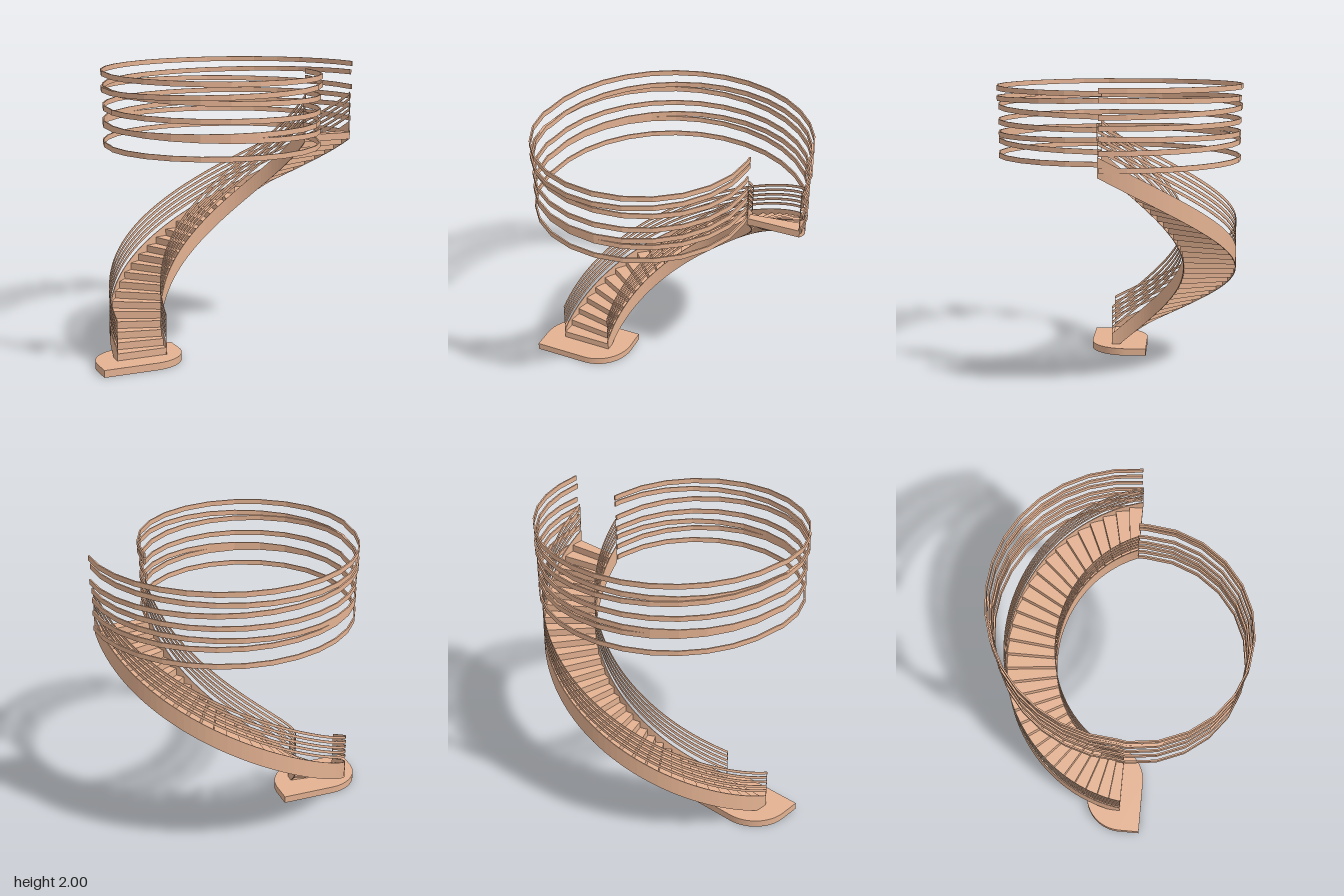
import * as THREE from 'three';

const STEPS = 30, BASE_H = 0.05, RISE = 1.45;
const CENTER = [0.06, 0.068], R_IN = 0.525, R_OUT = 0.877;

// Sweep a rectangular section along stations {x, z, nx, nz, w0, w1, y0, y1}
function sweep(stations) {
  const rings = stations.map(({ x, z, nx, nz, w0, w1, y0, y1 }) => [
    [x + nx * w1, y0, z + nz * w1], [x + nx * w1, y1, z + nz * w1],
    [x + nx * w0, y1, z + nz * w0], [x + nx * w0, y0, z + nz * w0],
  ]);
  const pos = [];
  const quad = (a, b, c, d) => pos.push(...a, ...b, ...c, ...a, ...c, ...d);
  for (let i = 0; i + 1 < rings.length; i++) {
    const A = rings[i], B = rings[i + 1];
    for (let j = 0; j < 4; j++) {
      const k = (j + 1) % 4;
      quad(A[j], A[k], B[k], B[j]);
    }
  }
  const first = rings[0], last = rings[rings.length - 1];
  quad(first[3], first[2], first[1], first[0]);
  quad(last[0], last[1], last[2], last[3]);
  const g = new THREE.BufferGeometry();
  g.setAttribute('position', new THREE.Float32BufferAttribute(pos, 3));
  g.computeVertexNormals();
  return g;
}

// Station on the stair spiral; t runs from 0 (bottom) to 1 (top)
function spiral(t, w0, w1, y0, y1) {
  const a = Math.PI * (1 + t);
  return { x: CENTER[0], z: CENTER[1], nx: Math.cos(a), nz: Math.sin(a), w0, w1, y0, y1 };
}
const slope = (t) => BASE_H + RISE * t;

// Band that climbs with the stairs between two height offsets
function climbingBand(r, thickness, lo, hi, n = 60) {
  const list = [];
  for (let i = 0; i <= n; i++) {
    const t = i / n, h = slope(t);
    list.push(spiral(t, r - thickness / 2, r + thickness / 2, Math.max(BASE_H, h + lo), h + hi));
  }
  return sweep(list);
}

// Balcony rail: front arc, then the wider back arc, at a steady slant
function balconyRail(yStart, yEnd, grow) {
  const list = [], yLeft = (yStart + yEnd) / 2, nFront = 12, nBack = 16;
  const add = (x, z, a, r, y) => list.push({
    x, z, nx: Math.cos(a), nz: Math.sin(a), w0: r - 0.01, w1: r, y0: y - 0.017, y1: y + 0.017,
  });
  add(-0.135, 0.065, 0, 0.715 + grow, yStart);
  for (let i = 0; i <= nFront; i++)
    add(-0.135, 0.117, Math.PI * i / nFront, 0.715 + grow, yStart + (yLeft - yStart) * i / nFront);
  for (let i = 0; i <= nBack; i++)
    add(0.055, 0.06, Math.PI * (1 + i / nBack), 0.895 + grow, yLeft + (yEnd - yLeft) * i / nBack);
  return sweep(list);
}

export function createModel() {
  const model = new THREE.Group();
  const wood = new THREE.MeshStandardMaterial({ color: 0xe4b292 });
  wood.name = 'wood';
  const add = (name, geometry) => {
    const mesh = new THREE.Mesh(geometry, wood);
    mesh.name = name;
    model.add(mesh);
    return mesh;
  };

  // Base plate with two opposite rounded corners (shape y is -z)
  const s = new THREE.Shape();
  s.moveTo(-0.965, -0.222);
  s.lineTo(-0.59, -0.222);
  s.absarc(-0.59, 0.038, 0.26, -Math.PI / 2, 0, false);
  s.lineTo(-0.33, 0.183);
  s.lineTo(-0.705, 0.183);
  s.absarc(-0.705, -0.077, 0.26, Math.PI / 2, Math.PI, false);
  s.closePath();
  const base = new THREE.ExtrudeGeometry(s, { depth: BASE_H, bevelEnabled: false, curveSegments: 16 });
  base.rotateX(-Math.PI / 2);
  add('basePlate', base);

  // Wedge steps with a stepped underside, held between the stringers
  for (let i = 0; i < STEPS; i++) {
    const t0 = i / STEPS, t1 = (i + 1) / STEPS;
    const y0 = slope(t0), y1 = slope(t1);
    add('step', sweep([spiral(t0, R_IN, R_OUT - 0.002, y0, y1), spiral(t1, R_IN, R_OUT - 0.002, y0, y1)]));
  }

  // Stringers, handrails and slim end posts on both sides
  for (const [side, r] of [['inner', R_IN], ['outer', R_OUT]]) {
    add(side + 'Stringer', climbingBand(r, 0.006, -0.048, 0.08));
    for (let k = 0; k < 5; k++) {
      const lo = 0.115 + k * 0.038;
      add(side + 'Rail', climbingBand(r, 0.004, lo, lo + 0.02));
    }
    for (const t of [0, 1]) {
      const post = add(side + 'Post', new THREE.BoxGeometry(0.004, 0.285, 0.003));
      post.position.set(CENTER[0] + (t ? r : -r), slope(t) + 0.1425, CENTER[1]);
    }
  }

  // Balcony rails: start height, end height and extra radius
  const rails = [
    [1.495, 1.495, 0], [1.65, 1.60, 0], [1.575, 1.69, 0], [1.715, 1.755, 0],
    [1.90, 1.82, 0.01], [1.80, 1.925, 0], [1.945, 1.983, 0.01],
  ];
  for (const r of rails) add('balconyRail', balconyRail(...r));

  return model;
}
